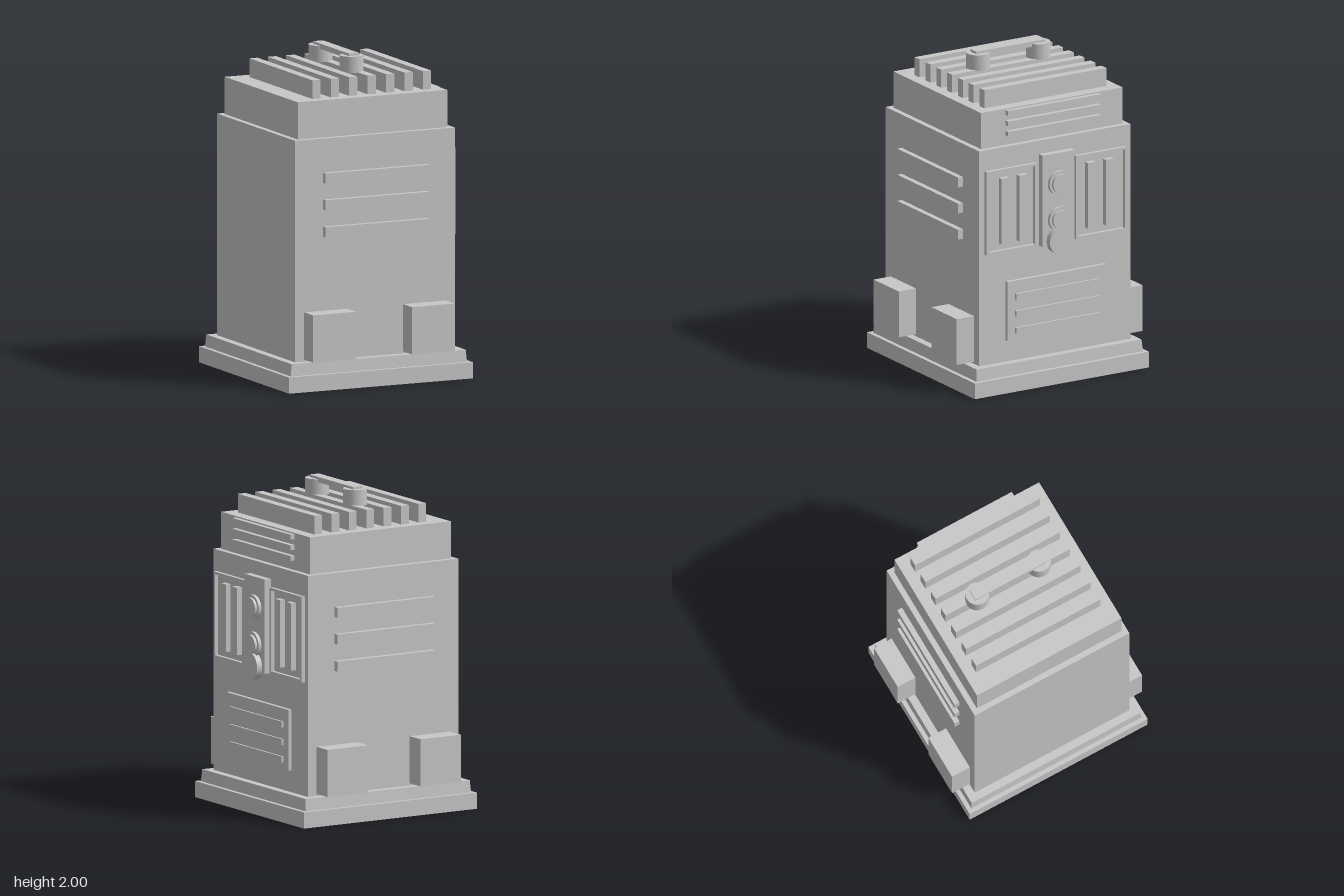
import * as THREE from 'three';

export function createModel() {
  const group = new THREE.Group();
  const grey = new THREE.MeshStandardMaterial({ color: 0xc7c7c7 });
  grey.name = 'light grey';

  const add = (name, geometry) => {
    const mesh = new THREE.Mesh(geometry, grey);
    mesh.name = name;
    group.add(mesh);
    return mesh;
  };
  // Box given by its limits on each axis
  const box = (name, x0, x1, y0, y1, z0, z1) => {
    const mesh = add(name, new THREE.BoxGeometry(x1 - x0, y1 - y0, z1 - z0));
    mesh.position.set((x0 + x1) / 2, (y0 + y1) / 2, (z0 + z1) / 2);
    return mesh;
  };
  // Disc with its axis along x
  const disc = (name, x0, x1, y, r) => {
    const mesh = add(name, new THREE.CylinderGeometry(r, r, x1 - x0, 32));
    mesh.rotation.z = -Math.PI / 2;
    mesh.position.set((x0 + x1) / 2, y, 0);
  };

  // Plinth, with a slightly tapered upper step
  box('plinth', -0.624, 0.624, 0, 0.1, -0.624, 0.624);
  const step = box('plinthStep', -0.597, 0.597, 0.1, 0.175, -0.597, 0.597);
  const p = step.geometry.attributes.position;
  for (let i = 0; i < p.count; i++) {
    if (p.getY(i) > 0) p.setXYZ(i, p.getX(i) * 0.99, p.getY(i), p.getZ(i) * 0.99);
  }
  step.geometry.computeVertexNormals();

  // Main housing and upper housing
  box('body', -0.542, 0.542, 0.175, 1.545, -0.542, 0.542);
  box('upperBody', -0.507, 0.507, 1.545, 1.775, -0.507, 0.507);

  // Cooling fins on the roof
  for (let i = 0; i < 7; i++) {
    const x = -0.346 + i * 0.125;
    box('roofFin', x - 0.028, x + 0.028, 1.77, 1.89, -0.437, 0.437);
  }

  // Carrying handle
  for (const z of [-0.216, 0.216]) {
    const post = add('handlePost', new THREE.CylinderGeometry(0.073, 0.073, 0.1, 24));
    post.position.set(0, 1.935, z);
  }
  box('handleBar', -0.034, 0.034, 1.967, 2, -0.249, 0.249);

  // Ribs and feet on the two z sides
  for (const s of [-1, 1]) {
    const sideBox = (name, x0, x1, y0, y1, z) =>
      box(name, x0, x1, y0, y1, Math.min(s * 0.53, s * z), Math.max(s * 0.53, s * z));
    for (const y of [0.97, 1.137, 1.303]) sideBox('sideRib', -0.353, 0.353, y - 0.031, y + 0.031, 0.576);
    for (const x of [-0.335, 0.335]) sideBox('footBlock', x - 0.146, x + 0.146, 0.188, 0.48, 0.666);
  }

  // Slats on the upper housing, control side
  for (const y of [1.62, 1.686, 1.752]) box('upperSlat', 0.5, 0.538, y - 0.015, y + 0.015, -0.333, 0.333);

  // Framed vents with upright bars
  const rect = (target, w, h) => {
    target.moveTo(-w, -h);
    target.lineTo(w, -h);
    target.lineTo(w, h);
    target.lineTo(-w, h);
    target.closePath();
    return target;
  };
  const frame = rect(new THREE.Shape(), 0.182, 0.266);
  frame.holes.push(rect(new THREE.Path(), 0.166, 0.25));
  for (const s of [-1, 1]) {
    const mesh = add('ventFrame', new THREE.ExtrudeGeometry(frame, { depth: 0.025, bevelEnabled: false }));
    mesh.rotation.y = Math.PI / 2;
    mesh.position.set(0.54, 1.146, s * 0.321);
    for (const z of [0.246, 0.373]) {
      box('ventBar', 0.53, 0.576, 0.938, 1.356, s * z - 0.029, s * z + 0.029);
    }
  }

  // Control strip with two knobs and a round cover
  box('controlStrip', 0.53, 0.586, 0.876, 1.46, -0.115, 0.115);
  for (const y of [1.272, 1.042]) {
    disc('knobBase', 0.58, 0.606, y, 0.077);
    disc('knobCap', 0.6, 0.622, y, 0.06);
  }
  disc('roundCover', 0.58, 0.623, 0.91, 0.086);

  // Lower grille
  box('grillePanel', 0.53, 0.567, 0.311, 0.688, -0.354, 0.354);
  for (const y of [0.372, 0.48, 0.589]) box('grilleBar', 0.56, 0.58, y - 0.019, y + 0.019, -0.3, 0.3);

  return group;
}
